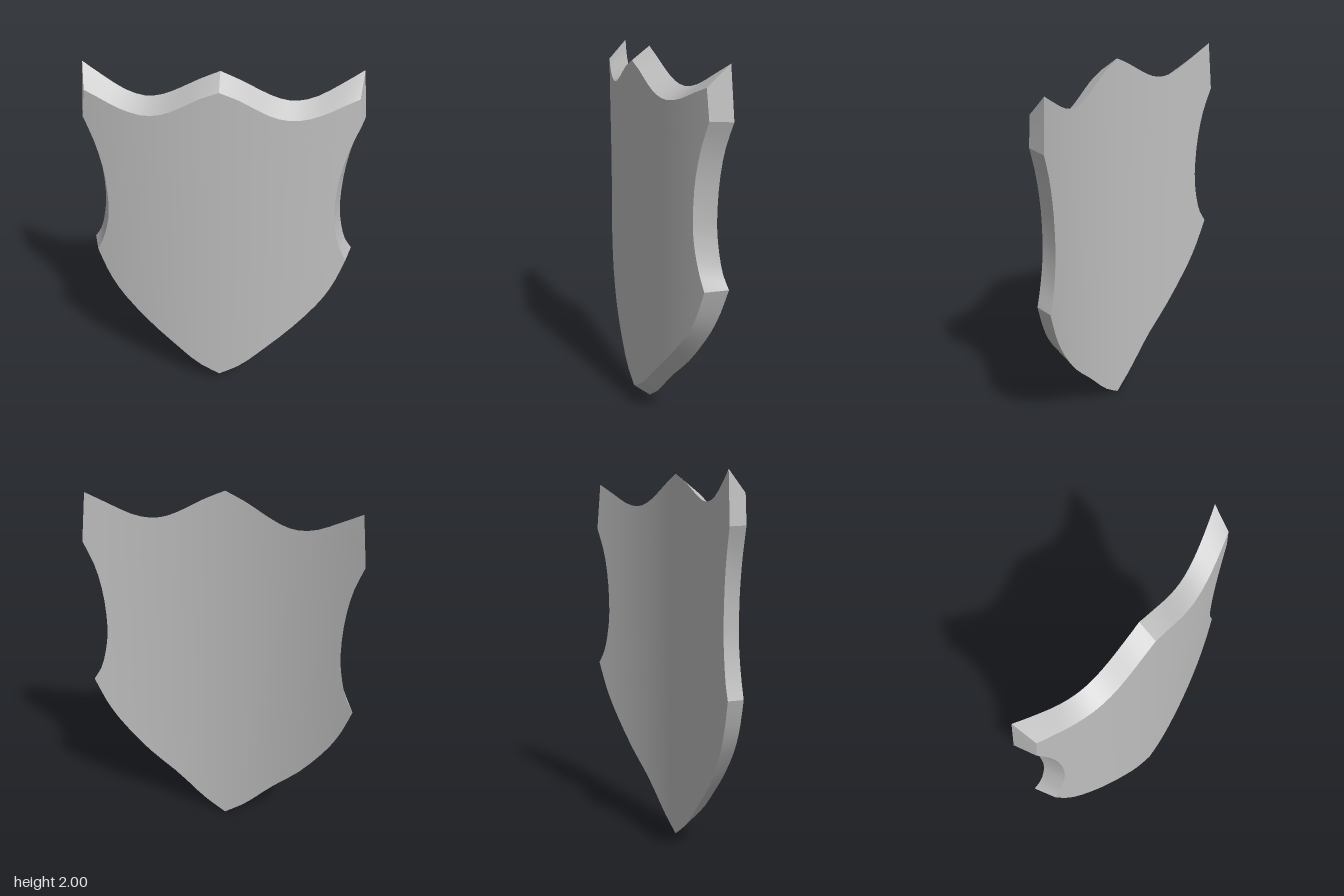
import * as THREE from 'three';

const N = 14; // samples per outline stretch

// Half outlines (x >= 0), split at the sharp corners
const FRONT = {
  bow: x => 0.112 - 0.233 * x * x,
  top: [[0, 1.93], [0.1, 1.89], [0.2, 1.833], [0.29, 1.792], [0.39, 1.778], [0.5, 1.8], [0.6, 1.84], [0.68, 1.87]],
  notch: [[0.68, 1.87], [0.7, 1.72]],
  waist: [[0.7, 1.72], [0.645, 1.57], [0.61, 1.4], [0.602, 1.22], [0.615, 1.1], [0.65, 0.98], [0.69, 0.89]],
  lower: [[0.69, 0.89], [0.635, 0.74], [0.56, 0.61], [0.42, 0.445], [0.27, 0.295], [0.13, 0.16], [0, 0.08]],
};
const BACK = {
  bow: x => 0.016 - 0.246 * x * x,
  top: [[0, 2], [0.1, 1.955], [0.2, 1.9], [0.29, 1.857], [0.38, 1.84], [0.48, 1.86], [0.59, 1.915], [0.7, 1.975]],
  notch: [[0.7, 1.975], [0.728, 1.715]],
  waist: [[0.728, 1.715], [0.675, 1.57], [0.645, 1.4], [0.637, 1.22], [0.65, 1.1], [0.68, 0.98], [0.725, 0.9]],
  lower: [[0.725, 0.9], [0.665, 0.74], [0.585, 0.595], [0.445, 0.41], [0.28, 0.25], [0.13, 0.095], [0, 0]],
};

const sample = (pts, n = N) =>
  new THREE.SplineCurve(pts.map(p => new THREE.Vector2(...p))).getPoints(n);

// Smooth surface over a grid of points; columns run right, rows run down
function sheet(cols, rows, point) {
  const pos = [], index = [];
  for (let j = 0; j <= rows; j++)
    for (let i = 0; i <= cols; i++) pos.push(...point(i, j));
  for (let j = 0; j < rows; j++)
    for (let i = 0; i < cols; i++) {
      const a = j * (cols + 1) + i, b = a + cols + 1;
      index.push(a, b, a + 1, b, b + 1, a + 1);
    }
  const g = new THREE.BufferGeometry();
  g.setAttribute('position', new THREE.Float32BufferAttribute(pos, 3));
  g.setIndex(index);
  g.computeVertexNormals();
  return g;
}

// Bowed plate blended between the top edge and the side edges
function plate(o, facing) {
  const top = sample(o.top);
  const side = [...sample(o.notch, 4), ...sample(o.waist).slice(1), ...sample(o.lower).slice(1)];
  const y0 = top[0].y, corner = top[N], yb = side[side.length - 1].y;
  return sheet(2 * N, side.length - 1, (i, j) => {
    const k = Math.abs(i - N), u = k / N, s = side[j];
    const w = (s.y - yb) / (corner.y - yb);
    const x = Math.sign(i - N) * facing * (u * s.x + w * (top[k].x - u * corner.x));
    const centre = yb + (y0 - yb) * w;
    const y = (1 - u) * centre + u * s.y + w * (top[k].y - y0 - u * (corner.y - y0));
    return [x, y, o.bow(x)];
  });
}

// Bevelled rim strip joining the back and front outlines along one stretch
function rim(stretch, side) {
  const n = stretch === 'notch' ? 4 : N;
  const edges = [BACK, FRONT].map(o => sample(o[stretch], n).map(p => [p.x * side, p.y, o.bow(p.x)]));
  return sheet(n, 1, (i, j) => edges[j][side > 0 ? i : n - i]);
}

export function createModel() {
  const shield = new THREE.Group();
  shield.name = 'shield';
  const steel = new THREE.MeshStandardMaterial({ color: 0xc0c0c0 });
  steel.name = 'plain grey';

  const add = (name, geometry) => {
    const mesh = new THREE.Mesh(geometry, steel);
    mesh.name = name;
    shield.add(mesh);
  };

  add('frontFace', plate(FRONT, 1));
  add('backFace', plate(BACK, -1));

  const names = { top: 'TopRim', notch: 'CornerRim', waist: 'WaistRim', lower: 'LowerRim' };
  for (const [stretch, name] of Object.entries(names)) {
    add('left' + name, rim(stretch, 1));
    add('right' + name, rim(stretch, -1));
  }
  return shield;
}
